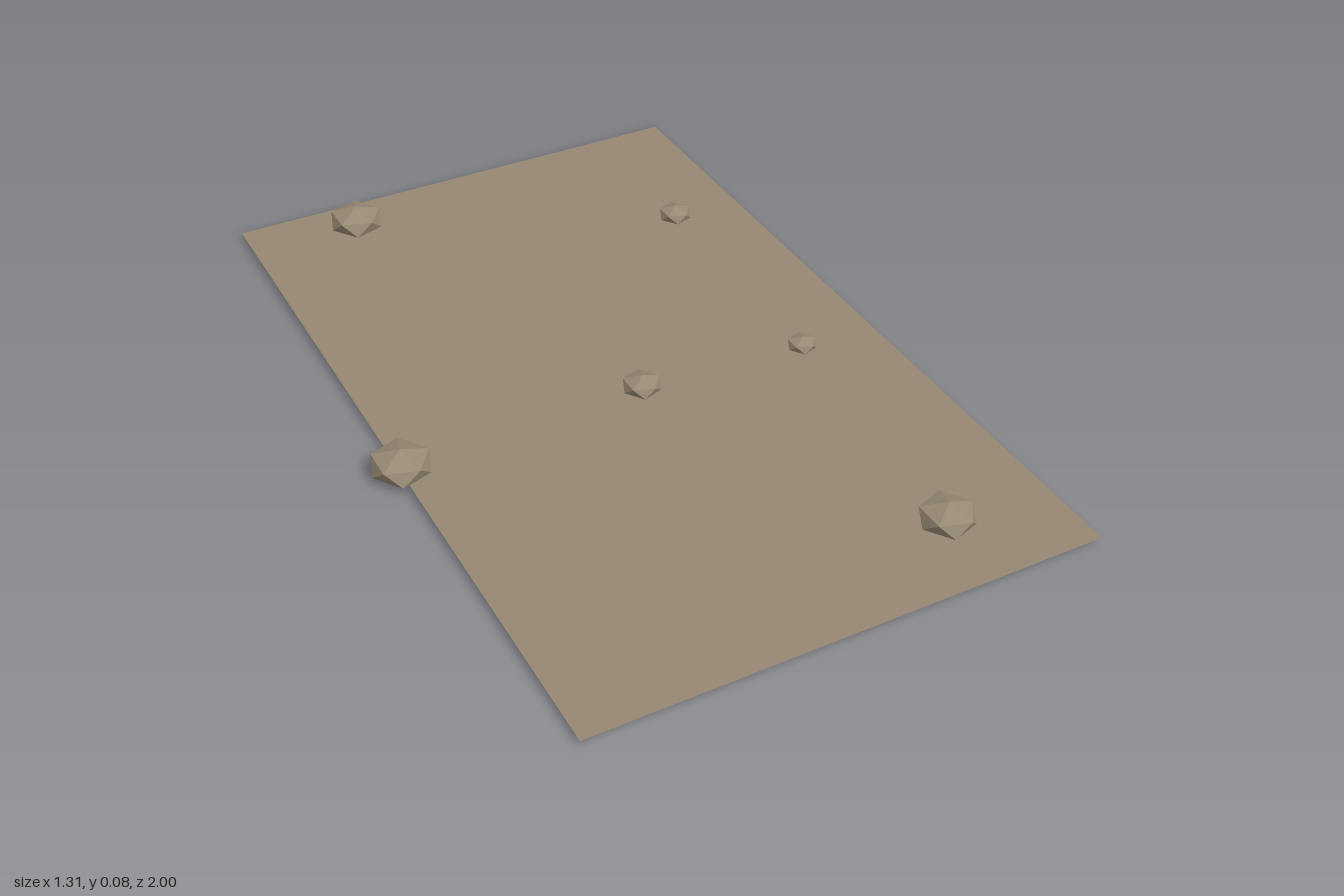
import * as THREE from 'three';

const sand = new THREE.MeshStandardMaterial({ color: 0x968872, side: THREE.DoubleSide });
sand.name = 'sand';
const stone = new THREE.MeshStandardMaterial({ color: 0x988a74, flatShading: true });
stone.name = 'stone';

// Flattened icosahedron standing on a vertex, with an upper-ring corner towards +x
function rockGeometry() {
  const tilt = Math.atan(2 / (1 + Math.sqrt(5)));
  return new THREE.IcosahedronGeometry(1, 0).rotateZ(-tilt).scale(1, 0.51, 1);
}

export function createModel() {
  const model = new THREE.Group();
  model.name = 'rockyGround';

  // Thin sheet of ground
  const ground = new THREE.Mesh(new THREE.PlaneGeometry(1.244, 2).rotateX(-Math.PI / 2), sand);
  ground.name = 'ground';
  ground.position.set(0.033, 0.017, 0);
  model.add(ground);

  // Rocks half sunk in the ground: x, z, radius
  const rocks = [
    [-0.305, -0.894, 0.075],
    [-0.586, 0.106, 0.077],
    [0.026, 0.096, 0.051],
    [0.389, 0.808, 0.071],
    [0.461, -0.53, 0.046],
    [0.446, 0.13, 0.039],
  ];
  const geometry = rockGeometry();
  rocks.forEach(([x, z, r], i) => {
    const rock = new THREE.Mesh(geometry, stone);
    rock.name = `rock${i + 1}`;
    rock.position.set(x, 0.0393, z);
    rock.scale.setScalar(r);
    model.add(rock);
  });

  return model;
}
